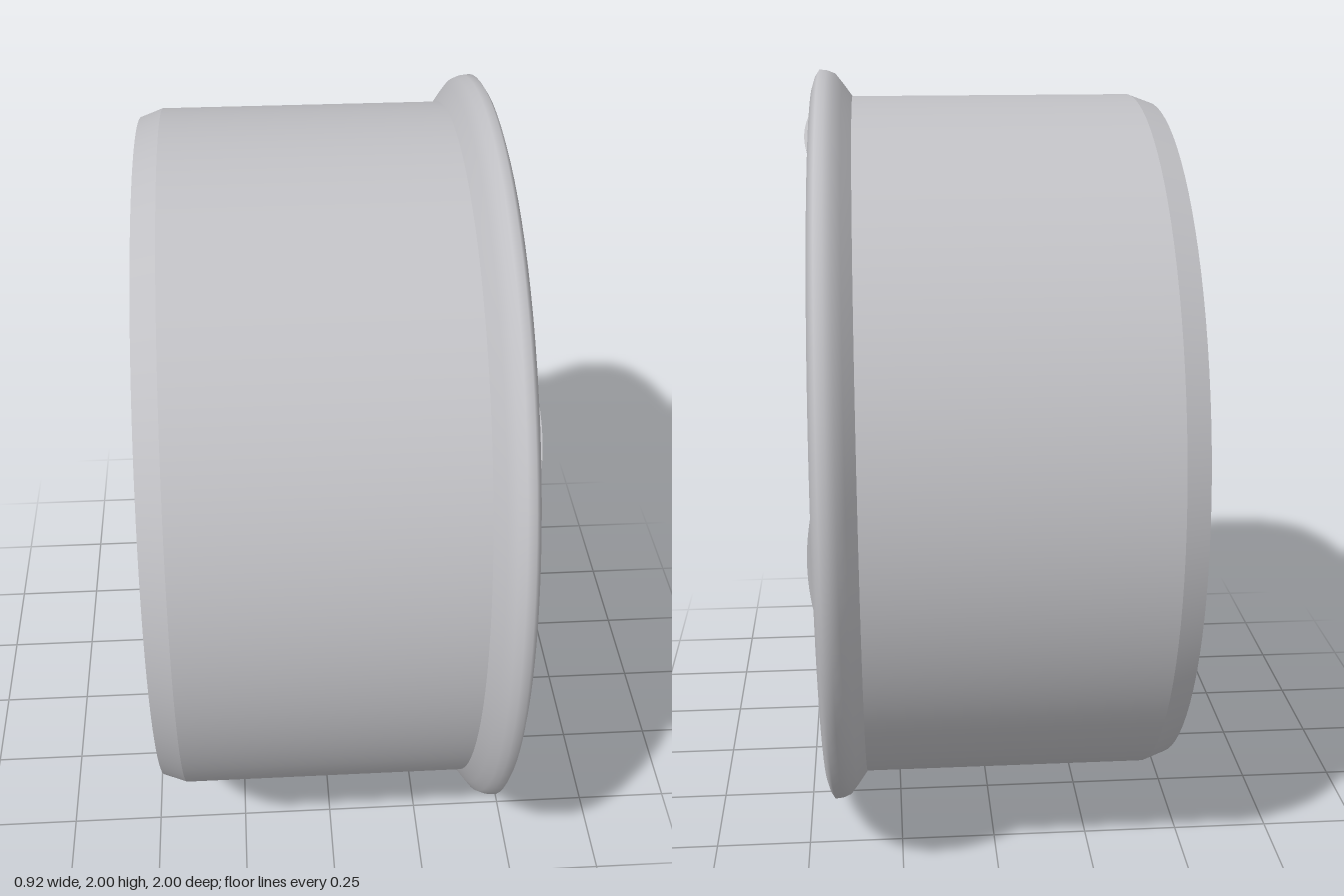
import * as THREE from 'three';

const silver = new THREE.MeshStandardMaterial({ color: 0xc0c0c4 });
silver.name = 'silver';
const silverOpen = new THREE.MeshStandardMaterial({ color: 0xc0c0c4, side: THREE.DoubleSide });
silverOpen.name = 'silver';
const black = new THREE.MeshStandardMaterial({ color: 0x252525 });
black.name = 'black';

// Lathe turned so that its axis runs along x; points are [x, radius]
function turned(name, points, material, segments = 96) {
  const pts = points.map(([x, r]) => new THREE.Vector2(r, x));
  const geo = new THREE.LatheGeometry(pts, segments);
  geo.rotateZ(-Math.PI / 2);
  const mesh = new THREE.Mesh(geo, material);
  mesh.name = name;
  return mesh;
}

// Spoke pointing to -z: tapered, crowned across its width, rising towards the rim
function spokeGeometry() {
  const geo = new THREE.BoxGeometry(1, 1, 1, 1, 16, 16);
  const p = geo.attributes.position;
  for (let i = 0; i < p.count; i++) {
    const u = 0.5 - p.getZ(i);
    const v = p.getY(i) * 2;
    const crown = 0.012 + 0.053 * (1 - u);
    const front = 0.385 + 0.07 * Math.pow(u, 1.5) - crown * v * v;
    const back = 0.23 + 0.13 * u;
    p.setXYZ(i, p.getX(i) > 0 ? front : back, v * (0.147 - 0.027 * u), -(0.24 + 0.68 * u));
  }
  geo.computeVertexNormals();
  return geo;
}

export function createModel() {
  const model = new THREE.Group();
  model.name = 'wheelRim';
  const wheel = new THREE.Group();
  wheel.name = 'wheel';
  wheel.position.y = 1;
  model.add(wheel);

  // Barrel
  wheel.add(turned('barrelRearBevel', [[-0.46, 0.908], [-0.4, 0.93]], silverOpen));
  wheel.add(turned('barrelOuter', [[-0.4, 0.93], [0.34, 0.93]], silverOpen));
  wheel.add(turned('barrelInner', [[0.38, 0.905], [-0.46, 0.905]], silver));

  // Rounded front lip
  wheel.add(turned('lip', [
    [0.34, 0.93], [0.365, 0.965], [0.385, 0.99], [0.405, 0.998], [0.425, 1.0],
    [0.435, 0.985], [0.443, 0.96], [0.442, 0.935], [0.43, 0.915], [0.41, 0.906], [0.38, 0.905],
  ], silver));

  // Hub
  wheel.add(turned('hubSide', [[0.18, 0.295], [0.29, 0.295]], silver, 64));
  wheel.add(turned('hubFace', [[0.29, 0.295], [0.315, 0.26], [0.316, 0]], silver, 64));
  wheel.add(turned('hubBack', [[0.18, 0], [0.18, 0.295]], silver, 64));

  // Centre cap with a domed front
  wheel.add(turned('centreCap', [
    [0.3, 0.125], [0.37, 0.125], [0.388, 0.115], [0.408, 0.09], [0.423, 0.05], [0.43, 0],
  ], black, 40));

  // Five spokes, each with a bolt at its foot
  const spokeGeo = spokeGeometry();
  for (let i = 0; i < 5; i++) {
    const arm = new THREE.Group();
    arm.name = 'spokeAndBolt' + (i + 1);
    arm.rotation.x = (i * Math.PI * 2) / 5;
    const spoke = new THREE.Mesh(spokeGeo, silver);
    spoke.name = 'spoke';
    const bolt = turned('bolt', [
      [0.3, 0.033], [0.378, 0.033], [0.392, 0.024], [0.396, 0],
    ], black, 16);
    bolt.position.z = -0.2;
    arm.add(spoke, bolt);
    wheel.add(arm);
  }
  return model;
}
